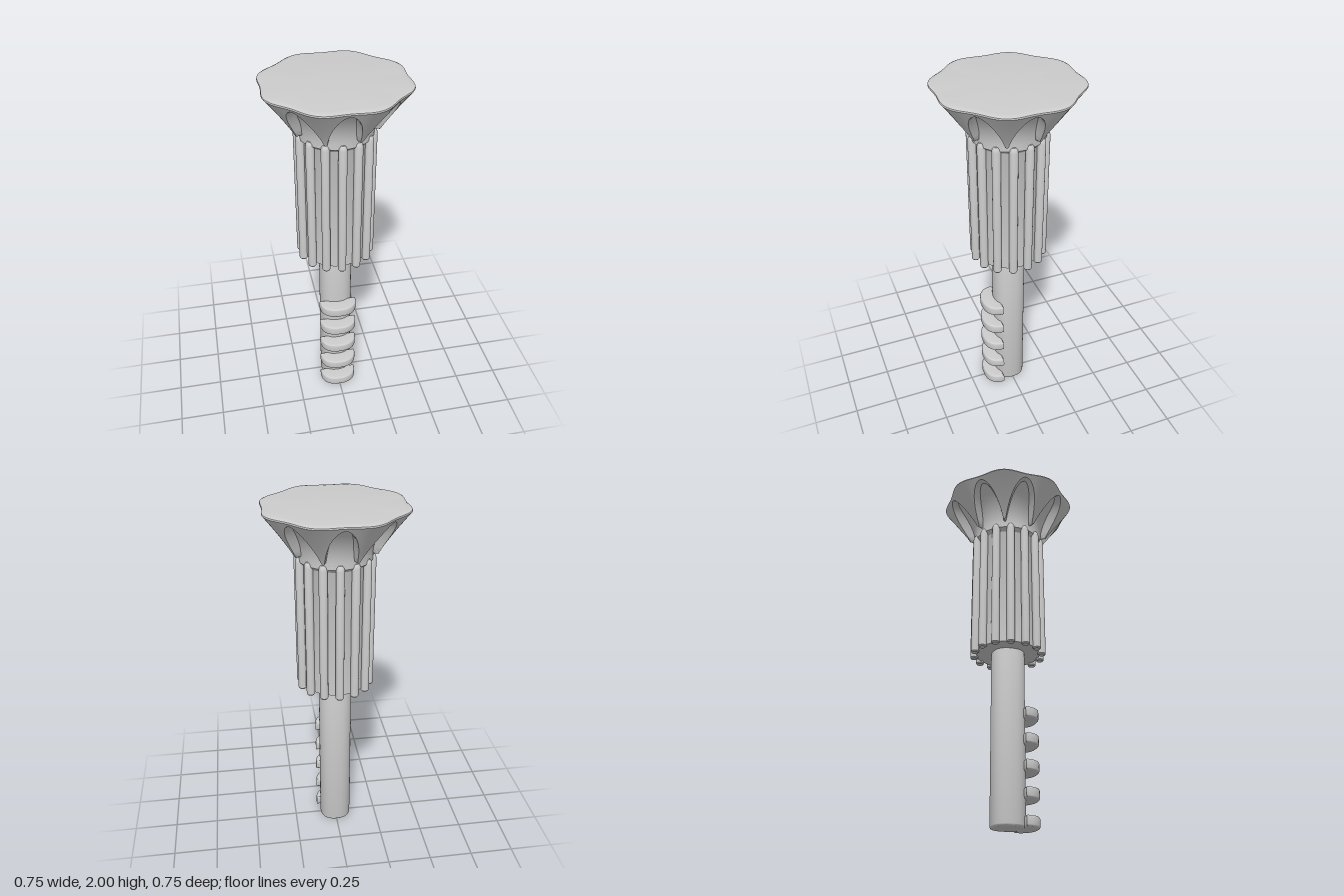
import * as THREE from 'three';
import { toCreasedNormals, mergeVertices } from 'three/addons/utils/BufferGeometryUtils.js';

const material = new THREE.MeshStandardMaterial({ color: 0xcccccc });
const add = (parent, name, geometry, x = 0, y = 0, z = 0) => {
  const mesh = new THREE.Mesh(geometry, material);
  mesh.name = name;
  mesh.position.set(x, y, z);
  parent.add(mesh);
  return mesh;
};
const lathe = (points, segments = 48) =>
  toCreasedNormals(new THREE.LatheGeometry(points.map(([r, y]) => new THREE.Vector2(r, y)), segments), 0.6);

// Radius of the recess behind the arches and of the flared shell
const innerRadius = (y) => 0.2 + 0.13 * Math.pow(Math.max(0, (y - 1.74) / 0.24), 2);
const outerRadius = (y, angle) => {
  const t = Math.max(0, (y - 1.75) / 0.235);
  return 0.228 + t ** 1.15 * (0.152 - 0.012 * Math.cos(8 * angle));
};

// Flared eight-sided capital whose lower edge is cut into pointed legs by arches
function capitalGeometry() {
  const columns = 8 * 24, climb = 10, rimY = 1.985;
  const positions = [], index = [];
  let rows = 0;
  for (let i = 0; i <= columns; i++) {
    const angle = (i / columns) * Math.PI * 2;
    const sector = Math.PI / 4;
    const local = Math.abs(angle - Math.round(angle / sector) * sector) / (sector / 2);
    const low = 1.97 - 0.215 * Math.pow(Math.min(1, local / 0.93), 1.9);
    const profile = [[innerRadius(low), low]];
    for (let j = 0; j <= climb; j++) {
      const y = low + (rimY - low) * (j / climb);
      profile.push([outerRadius(y, angle), y]);
    }
    const rim = outerRadius(rimY, angle);
    profile.push([rim - 0.002, 1.992], [rim - 0.012, 1.997], [rim - 0.035, 2], [0, 2]);
    rows = profile.length;
    for (const [r, y] of profile) positions.push(r * Math.sin(angle), y, r * Math.cos(angle));
  }
  for (let i = 0; i < columns; i++) {
    for (let j = 0; j < rows - 1; j++) {
      const a = i * rows + j, b = a + rows;
      index.push(a, b, b + 1);
      if (j < rows - 2) index.push(a, b + 1, a + 1);
    }
  }
  const geometry = new THREE.BufferGeometry();
  geometry.setAttribute('position', new THREE.Float32BufferAttribute(positions, 3));
  geometry.setIndex(index);
  return toCreasedNormals(mergeVertices(geometry, 1e-5), 0.7);
}

// Rounded outline: a superellipse arc from one angle to another
function roundedOutline(halfX, halfY, power, from, to, steps) {
  const points = [];
  for (let i = 0; i <= steps; i++) {
    const a = from + ((to - from) * i) / steps, c = Math.cos(a), s = Math.sin(a);
    points.push(new THREE.Vector2(
      halfX * Math.sign(c) * Math.abs(c) ** (2 / power),
      halfY * Math.sign(s) * Math.abs(s) ** (2 / power)));
  }
  return new THREE.Shape(points);
}

// Extrudes an outline upwards with softened edges; outline y becomes +z
function uprightExtrude(shape, height, bevel) {
  const geometry = new THREE.ExtrudeGeometry(shape, {
    depth: height - 2 * bevel, bevelSize: bevel, bevelOffset: -bevel,
    bevelThickness: bevel, bevelSegments: 3, curveSegments: 12,
  });
  geometry.translate(0, 0, bevel - height);
  geometry.rotateX(Math.PI / 2);
  return toCreasedNormals(geometry, 0.7);
}

export function createModel() {
  const model = new THREE.Group();
  model.name = 'flutedKey';

  // Capital and the recessed bell behind its arches
  add(model, 'capital', capitalGeometry());
  const bell = [];
  for (let y = 1.7; y < 1.985; y += 0.02) bell.push([y < 1.72 ? 0.18 : innerRadius(y), y]);
  add(model, 'capitalBell', lathe(bell, 64));

  // Column core with a ring of rods
  add(model, 'columnCore', lathe([[0, 0.98], [0.18, 0.98], [0.18, 1.7], [0.2, 1.74], [0.2, 1.78]]));
  const rods = new THREE.Group();
  rods.name = 'columnRods';
  model.add(rods);
  const rodProfile = [[0, 0.965], [0.018, 0.965], [0.023, 0.972], [0.023, 1.715],
    [0.02, 1.73], [0.012, 1.742], [0, 1.746]];
  const rodGeometry = lathe(rodProfile, 16);
  const rodCount = 14;
  for (let i = 0; i < rodCount; i++) {
    const a = (i / rodCount) * Math.PI * 2;
    add(rods, 'rod', rodGeometry, 0.194 * Math.sin(a), 0, 0.194 * Math.cos(a));
  }

  // Shaft
  const shaftOutline = roundedOutline(0.092, 0.092, 2.3, 0, Math.PI * 2 * (47 / 48), 47);
  add(model, 'shaft', uprightExtrude(shaftOutline, 1.0, 0.012));

  // Teeth along the front of the shaft
  const toothGeometry = uprightExtrude(roundedOutline(0.108, 0.1, 2.4, 0, Math.PI, 28), 0.058, 0.01);
  for (let i = 0; i < 5; i++) add(model, 'tooth', toothGeometry, 0, i * 0.1455, 0.067);

  return model;
}
